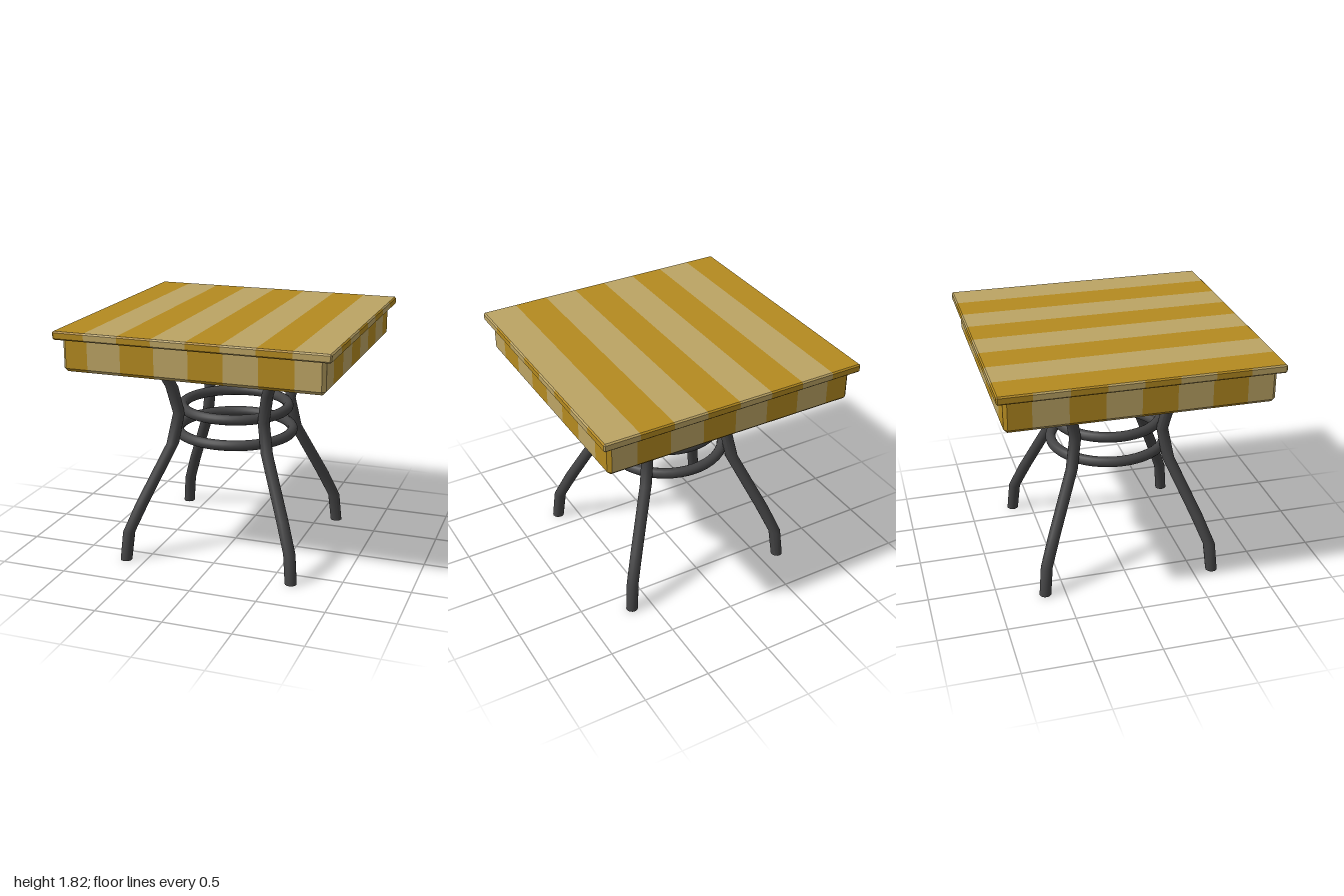
import * as THREE from 'three';

const material = (name, color, side = THREE.FrontSide) =>
  Object.assign(new THREE.MeshStandardMaterial({ color, side }), { name });

// Square striped board. levels: [face distance, half width of face, y], bottom to top;
// where the distance exceeds the half width, the corner is chamfered.
function stripedBoard(name, levels, cornerColour, mats) {
  const pos = [[], []];
  const quad = (tone, a, b, c, d, flip) => {
    const order = flip ? [a, c, b, a, d, c] : [a, b, c, a, c, d];
    pos[tone].push(...order.flat());
  };
  const stripes = 8, width = 0.25, start = -1.01;
  const clamp = (v, s) => THREE.MathUtils.clamp(v, -s, s);

  for (let i = 0; i < stripes; i++) {
    const u0 = start + i * width, u1 = u0 + width, tone = i % 2;
    // four sides, level by level
    for (let k = 0; k + 1 < levels.length; k++) {
      const [h0, s0, y0] = levels[k], [h1, s1, y1] = levels[k + 1];
      for (const sign of [1, -1]) {
        const onZ = (u, h, s, y) => [clamp(u, s), y, sign * h];
        const onX = (u, h, s, y) => [sign * h, y, clamp(u, s)];
        for (const [p, flip] of [[onZ, sign < 0], [onX, sign > 0]]) {
          quad(tone, p(u0, h0, s0, y0), p(u1, h0, s0, y0),
            p(u1, h1, s1, y1), p(u0, h1, s1, y1), flip);
        }
      }
    }
    // top and underside
    for (const [level, flip] of [[levels.at(-1), false], [levels[0], true]]) {
      const [, s, y] = level, a = clamp(u0, s), b = clamp(u1, s);
      quad(tone, [a, y, s], [b, y, s], [b, y, -s], [a, y, -s], flip);
    }
  }
  // corner chamfers
  for (const sx of [1, -1]) for (const sz of [1, -1]) {
    for (let k = 0; k + 1 < levels.length; k++) {
      const [h0, s0, y0] = levels[k], [h1, s1, y1] = levels[k + 1];
      quad(cornerColour(sx, sz), [sx * s0, y0, sz * h0], [sx * h0, y0, sz * s0],
        [sx * h1, y1, sz * s1], [sx * s1, y1, sz * h1], sx * sz < 0);
    }
  }
  const group = new THREE.Group();
  group.name = name;
  pos.forEach((list, tone) => {
    const geo = new THREE.BufferGeometry();
    geo.setAttribute('position', new THREE.Float32BufferAttribute(list, 3));
    geo.computeVertexNormals();
    const mesh = new THREE.Mesh(geo, mats[tone]);
    mesh.name = name + (tone ? 'LightStripes' : 'DarkStripes');
    group.add(mesh);
  });
  return group;
}

// Bent pipe: a cylinder whose rings follow [x, y, stretch along the bend]
function legGeometry() {
  const path = [
    [0.65, 0, 1], [0.63, 0.22, 1.05], [0.55, 0.435, 1.13], [0.37, 0.87, 1.08],
    [0.332, 1.1, 1], [0.37, 1.31, 1.08], [0.46, 1.54, 1.13],
  ];
  const n = path.length - 1, radius = 0.044;
  const geo = new THREE.CylinderGeometry(radius, radius, n, 16, n);
  const p = geo.attributes.position;
  for (let i = 0; i < p.count; i++) {
    const [x, y, k] = path[Math.round(p.getY(i) + n / 2)];
    p.setXYZ(i, x * Math.SQRT2 + p.getX(i) * k, y, p.getZ(i));
  }
  geo.computeVertexNormals();
  return geo;
}

export function createModel() {
  const model = new THREE.Group();
  model.name = 'table';
  const gold = material('goldenWood', 0xb48a20);
  const tan = material('paleWood', 0xbca464);
  const iron = material('darkIron', 0x444445);
  const woods = [gold, tan];

  // Table top with a fine bevel, and the chamfered apron below it
  model.add(stripedBoard('tableTop', [
    [0.99, 0.99, 1.755], [1, 0.99, 1.765], [1, 0.99, 1.806], [0.99, 0.99, 1.816],
  ], (sx) => (sx > 0 ? 1 : 0), woods));
  model.add(stripedBoard('apron', [
    [0.925, 0.925, 1.52], [0.95, 0.925, 1.545], [0.95, 0.925, 1.756],
  ], (sx, sz) => (sz > 0 ? 1 : 0), woods));

  // Four splayed legs on the diagonals
  const legGeo = legGeometry();
  for (let i = 0; i < 4; i++) {
    const leg = new THREE.Mesh(legGeo, iron);
    leg.name = 'leg';
    leg.rotation.y = Math.PI / 4 + i * Math.PI / 2;
    model.add(leg);
  }

  // Two rings tying the legs together
  for (const [name, radius, y] of [['lowerRing', 0.437, 0.92], ['upperRing', 0.402, 1.105]]) {
    const ring = new THREE.Mesh(new THREE.TorusGeometry(radius, 0.039, 14, 48), iron);
    ring.name = name;
    ring.rotation.x = Math.PI / 2;
    ring.position.y = y;
    model.add(ring);
  }
  return model;
}
